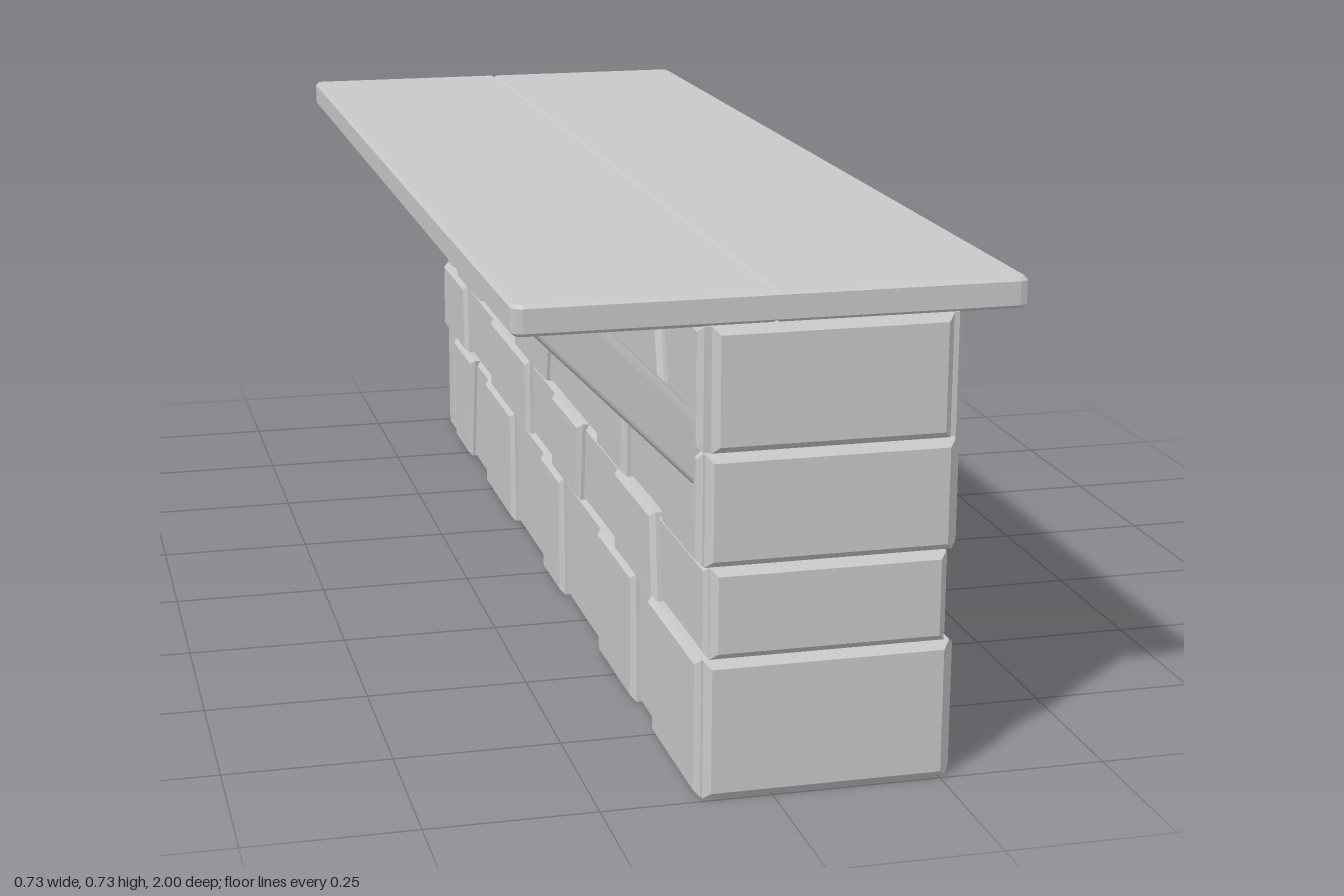
import * as THREE from 'three';

const stone = new THREE.MeshStandardMaterial({ color: 0xc8c8c8 });
stone.name = 'pale grey';

// Prism with chamfered edges from an outline; spans 0..depth along z
function chamfered(points, depth, bevel, segments = 1) {
  const shape = new THREE.Shape(points.map(([x, y]) => new THREE.Vector2(x, y)));
  const geometry = new THREE.ExtrudeGeometry(shape, {
    depth: depth - 2 * bevel, bevelEnabled: true, bevelThickness: bevel,
    bevelSize: bevel, bevelOffset: -bevel, bevelSegments: segments,
  });
  return geometry.translate(0, 0, bevel);
}

// Courses: bottom, top, and slanted joints as [top, bottom] distances along the wall
const courses = [
  { y0: 0, y1: 0.205, first: 1, joints: [[-0.71, -0.74], [-0.615, -0.62], [-0.385, -0.395], [-0.115, -0.12],
    [0.045, 0.025], [0.3, 0.295], [0.55, 0.545], [0.69, 0.725], [0.88, 0.87]] },
  { y0: 0.207, y1: 0.34, first: 0, joints: [[-0.73, -0.745], [-0.5, -0.5], [-0.255, -0.24], [-0.05, -0.05],
    [0.16, 0.16], [0.49, 0.485], [0.76, 0.75]] },
  { y0: 0.342, y1: 0.503, first: 1, joints: [[-0.77, -0.79], [-0.56, -0.555], [-0.378, -0.383], [-0.013, 0.02],
    [0.265, 0.26], [0.61, 0.625], [0.828, 0.833]] },
  { y0: 0.505, y1: 0.682, first: 1, joints: [[-0.898, -0.895], [-0.742, -0.785], [-0.544, -0.528], [-0.217, -0.222],
    [0.083, 0.083], [0.18, 0.18], [0.394, 0.351], [0.474, 0.496], [0.74, 0.732]] },
];
const middle = 0.08; // wall centre in x

export function createModel() {
  const model = new THREE.Group();
  model.name = 'stoneCounter';
  const add = (geometry, name, parent = model) => {
    const mesh = new THREE.Mesh(geometry, stone);
    mesh.name = name;
    parent.add(mesh);
    return mesh;
  };

  // Solid wall core behind the stones
  const core = add(new THREE.BoxGeometry(0.33, 0.68, 1.94), 'wallCore');
  core.position.set(middle, 0.34, 0);

  // Facing stones on both long sides, alternately proud and set back
  for (const side of [1, -1]) {
    const face = new THREE.Group();
    face.name = side > 0 ? 'leftStones' : 'rightStones';
    model.add(face);
    for (const { y0, y1, first, joints } of courses) {
      const edges = [[-0.985, -0.985], ...joints, [0.985, 0.985]];
      for (let i = 0; i < edges.length - 1; i++) {
        const a = edges[i], b = edges[i + 1];
        const outer = (i + first) % 2 ? 0.19 : 0.178;
        const outline = [[a[1], y0], [b[1], y0], [b[0], y1], [a[0], y1]].map(([u, y]) => [u * side, y]);
        const geometry = chamfered(outline, 0.08, 0.008);
        geometry.translate(0, 0, outer - 0.08).rotateY(side * Math.PI / 2).translate(middle, 0, 0);
        add(geometry, 'facingStone', face);
      }
    }
  }

  // One wide stone per course closing each end
  for (const end of [1, -1]) {
    courses.forEach(({ y0, y1 }, i) => {
      const half = i % 2 ? 0.172 : 0.18;
      const geometry = chamfered([[-half, y0], [half, y0], [half, y1], [-half, y1]], 0.08, 0.01);
      geometry.translate(0, 0, 0.92);
      if (end < 0) geometry.rotateY(Math.PI);
      add(geometry.translate(middle, 0, 0), 'endStone');
    });
  }

  // Two planks of the counter top, with clipped outer corners
  for (const s of [1, -1]) {
    const plank = [[0, -0.985], [0.35, -0.985], [0.361, -0.981], [0.365, -0.97],
      [0.365, 0.97], [0.361, 0.981], [0.35, 0.985], [0, 0.985]].map(([x, z]) => [x * s, z]);
    add(chamfered(plank, 0.044, 0.005).rotateX(-Math.PI / 2).translate(0, 0.681, 0), 'topPlank');
  }

  // Diagonal braces under the overhang
  for (const z of [-0.915, 0, 0.915]) {
    const brace = chamfered([[-0.345, 0.69], [-0.09, 0.435], [-0.09, 0.54], [-0.24, 0.69]], 0.11, 0.012, 3);
    add(brace.translate(0, 0, z - 0.055), 'brace');
  }
  return model;
}
